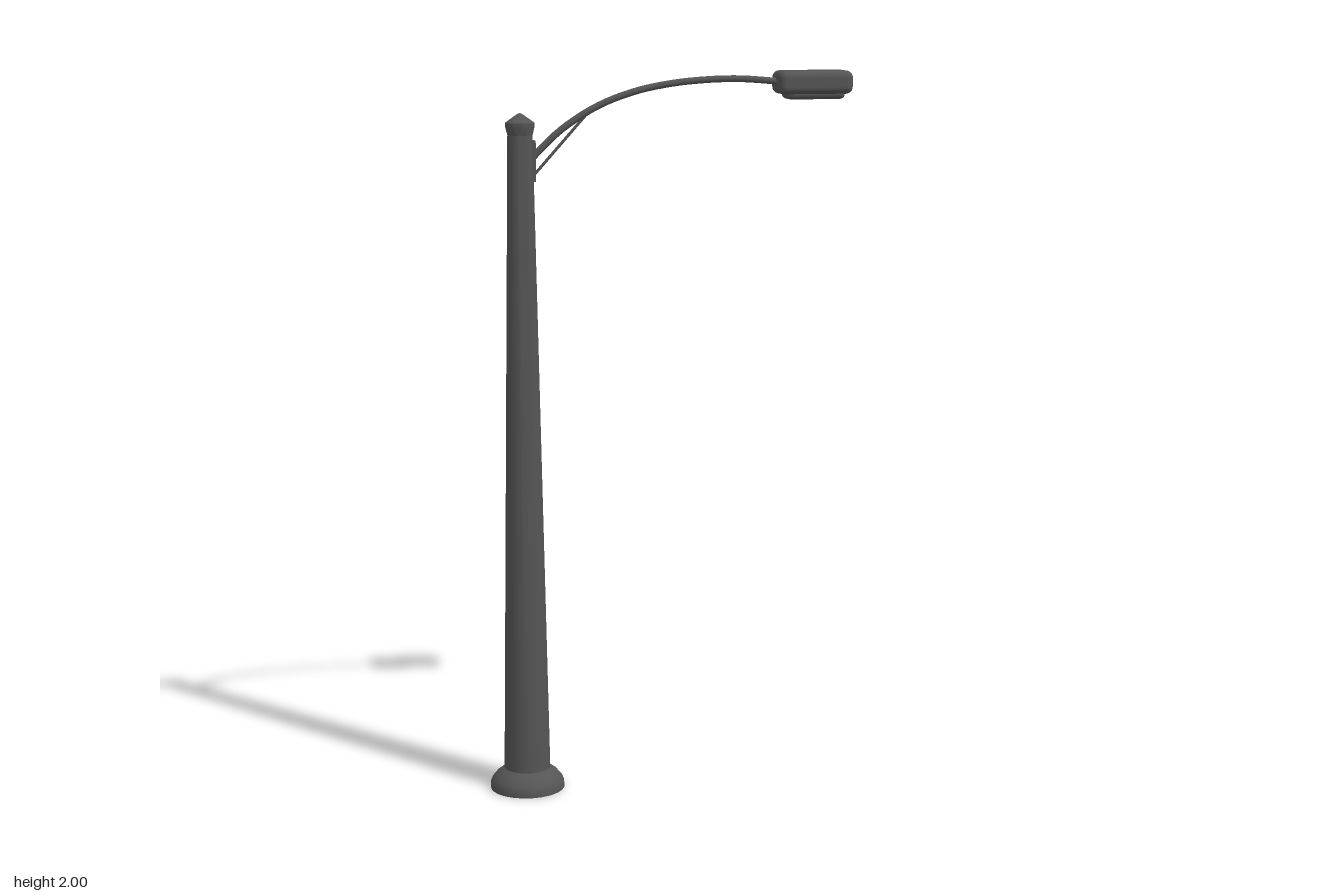
import * as THREE from 'three';
import { RoundedBoxGeometry } from 'three/addons/geometries/RoundedBoxGeometry.js';
import { toCreasedNormals } from 'three/addons/utils/BufferGeometryUtils.js';

const POLE_X = -0.409;

export function createModel() {
  const model = new THREE.Group();
  model.name = 'streetLamp';
  const material = new THREE.MeshStandardMaterial({ color: 0x555555 });

  const add = (name, geometry, x = 0, y = 0, z = 0) => {
    const mesh = new THREE.Mesh(geometry, material);
    mesh.name = name;
    mesh.position.set(x, y, z);
    model.add(mesh);
    return mesh;
  };
  const lathe = (points) => toCreasedNormals(
    new THREE.LatheGeometry(points.map(([r, y]) => new THREE.Vector2(r, y)), 24), 0.6);
  const curve = (points) => new THREE.CatmullRomCurve3(
    points.map(([x, y]) => new THREE.Vector3(x, y, 0)));

  // Flared foot, closed underneath
  add('base', lathe([[0, 0], [0.104, 0], [0.104, 0.016], [0.098, 0.03],
    [0.086, 0.044], [0.074, 0.053], [0.064, 0.06]]), POLE_X);

  // Tapered shaft
  add('pole', lathe([[0.065, 0.05], [0.034, 1.84]]), POLE_X);

  // Flared collar with a conical top
  add('poleCap', lathe([[0.034, 1.835], [0.040, 1.858], [0.040, 1.868],
    [0.006, 1.892], [0, 1.894]]), POLE_X);

  // Mounting plate on the side of the pole
  add('mountPlate', new THREE.BoxGeometry(0.012, 0.11, 0.022), -0.374, 1.765);

  // Curved arm
  const armPath = curve([[-0.385, 1.765], [-0.30, 1.845], [-0.20, 1.908], [-0.10, 1.946],
    [0, 1.967], [0.10, 1.977], [0.20, 1.979], [0.33, 1.969]]);
  add('arm', new THREE.TubeGeometry(armPath, 32, 0.0095, 10));

  // Thin diagonal brace under the arm
  const bracePath = new THREE.LineCurve3(
    new THREE.Vector3(-0.374, 1.725, 0), new THREE.Vector3(-0.225, 1.89, 0));
  add('brace', new THREE.TubeGeometry(bracePath, 1, 0.004, 8));

  // Lamp head with a shallow lens below
  add('lampHead', new RoundedBoxGeometry(0.211, 0.064, 0.102, 3, 0.02), 0.4075, 1.968);
  add('lens', new RoundedBoxGeometry(0.166, 0.04, 0.074, 3, 0.014), 0.41, 1.942);

  return model;
}
